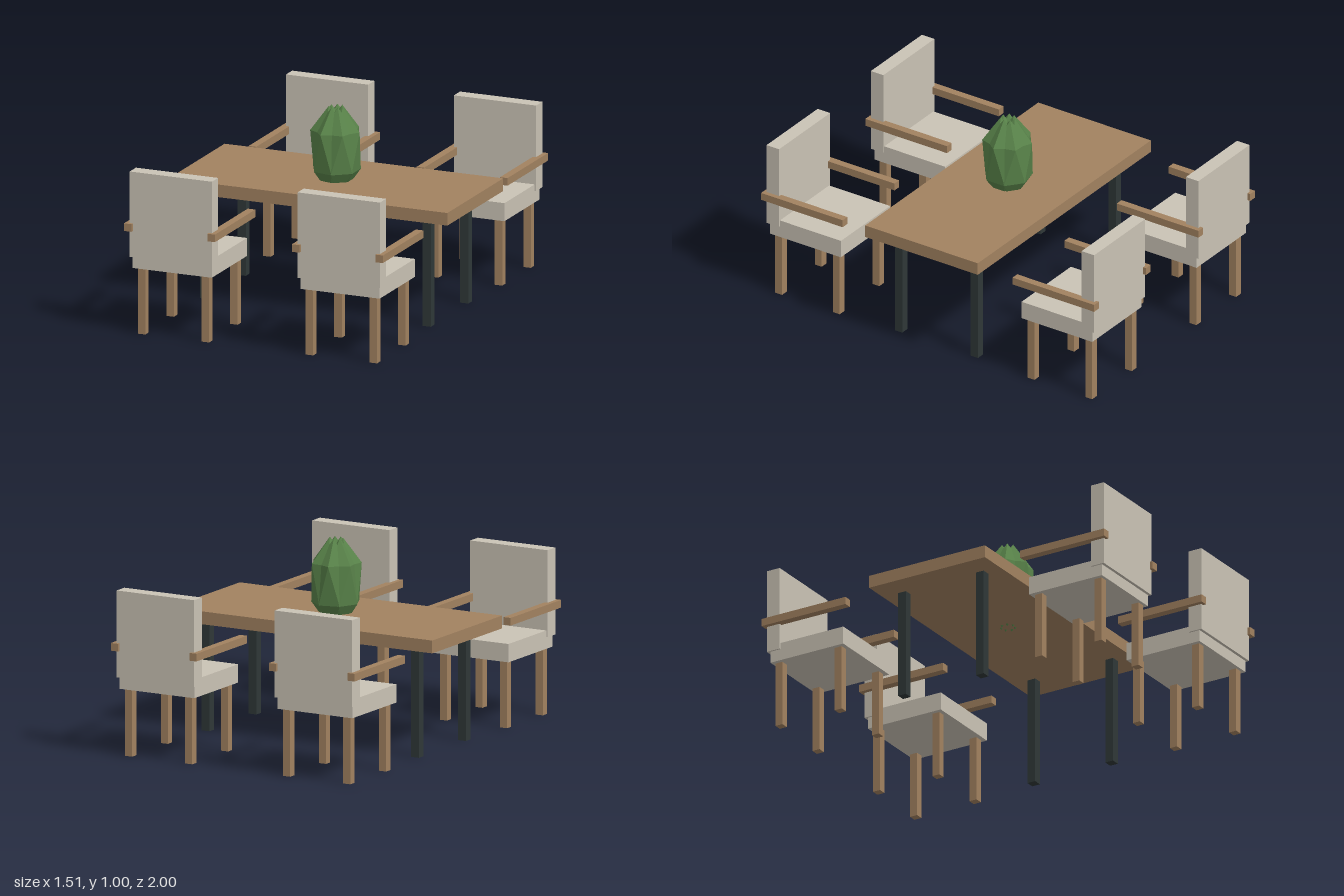
import * as THREE from 'three';

const material = (name, color) => {
  const m = new THREE.MeshStandardMaterial({ color });
  m.name = name;
  return m;
};

export function createModel() {
  const wood = material('wood', 0xa28260);
  const fabric = material('fabric', 0xcac3b5);
  const metal = material('dark metal', 0x2f3838);
  const green = material('leaf green', 0x588249);

  const model = new THREE.Group();
  model.name = 'diningSet';

  // Box given by its size and centre
  const box = (parent, name, mat, [w, h, d], [x, y, z]) => {
    const mesh = new THREE.Mesh(new THREE.BoxGeometry(w, h, d), mat);
    mesh.name = name;
    mesh.position.set(x, y, z);
    parent.add(mesh);
  };

  // Table
  const table = new THREE.Group();
  table.name = 'table';
  box(table, 'tableTop', wood, [1.51, 0.065, 0.676], [0, 0.5925, 0]);
  for (const x of [-0.603, 0.603])
    for (const z of [-0.227, 0.227])
      box(table, 'tableLeg', metal, [0.045, 0.56, 0.045], [x, 0.28, z]);
  model.add(table);

  // Chair with its backrest toward +z, centred on its own x
  const makeChair = () => {
    const chair = new THREE.Group();
    chair.name = 'chair';
    box(chair, 'seat', fabric, [0.43, 0.093, 0.425], [0, 0.3865, 0.755]);
    box(chair, 'backrest', fabric, [0.446, 0.44, 0.075], [0, 0.62, 0.946]);
    for (const s of [-1, 1]) {
      box(chair, 'armrest', wood, [0.041, 0.039, 0.49], [s * 0.226, 0.555, 0.755]);
      for (const z of [0.585, 0.931])
        box(chair, 'chairLeg', wood, [0.041, 0.34, 0.041], [s * 0.173, 0.17, z]);
    }
    return chair;
  };

  // Two chairs on each long side, facing the table
  for (const x of [-0.455, 0.455])
    for (const turn of [0, Math.PI]) {
      const chair = makeChair();
      chair.position.x = x;
      chair.rotation.y = turn;
      model.add(chair);
    }

  // Plant: a ring of tall faceted leaves, standing on their points
  const plant = new THREE.Group();
  plant.name = 'plant';
  const golden = (1 + Math.sqrt(5)) / 2;
  const leaf = new THREE.IcosahedronGeometry(1, 0);
  leaf.rotateZ(-Math.atan(1 / golden)); // one corner straight up
  leaf.scale(0.104, 0.225, 0.104);
  leaf.translate(0.035, 0.775, 0);
  const leaves = 7;
  for (let i = 0; i < leaves; i++) {
    const mesh = new THREE.Mesh(leaf, green);
    mesh.name = 'leaf';
    mesh.rotation.y = (i / leaves) * Math.PI * 2;
    plant.add(mesh);
  }
  model.add(plant);

  return model;
}
